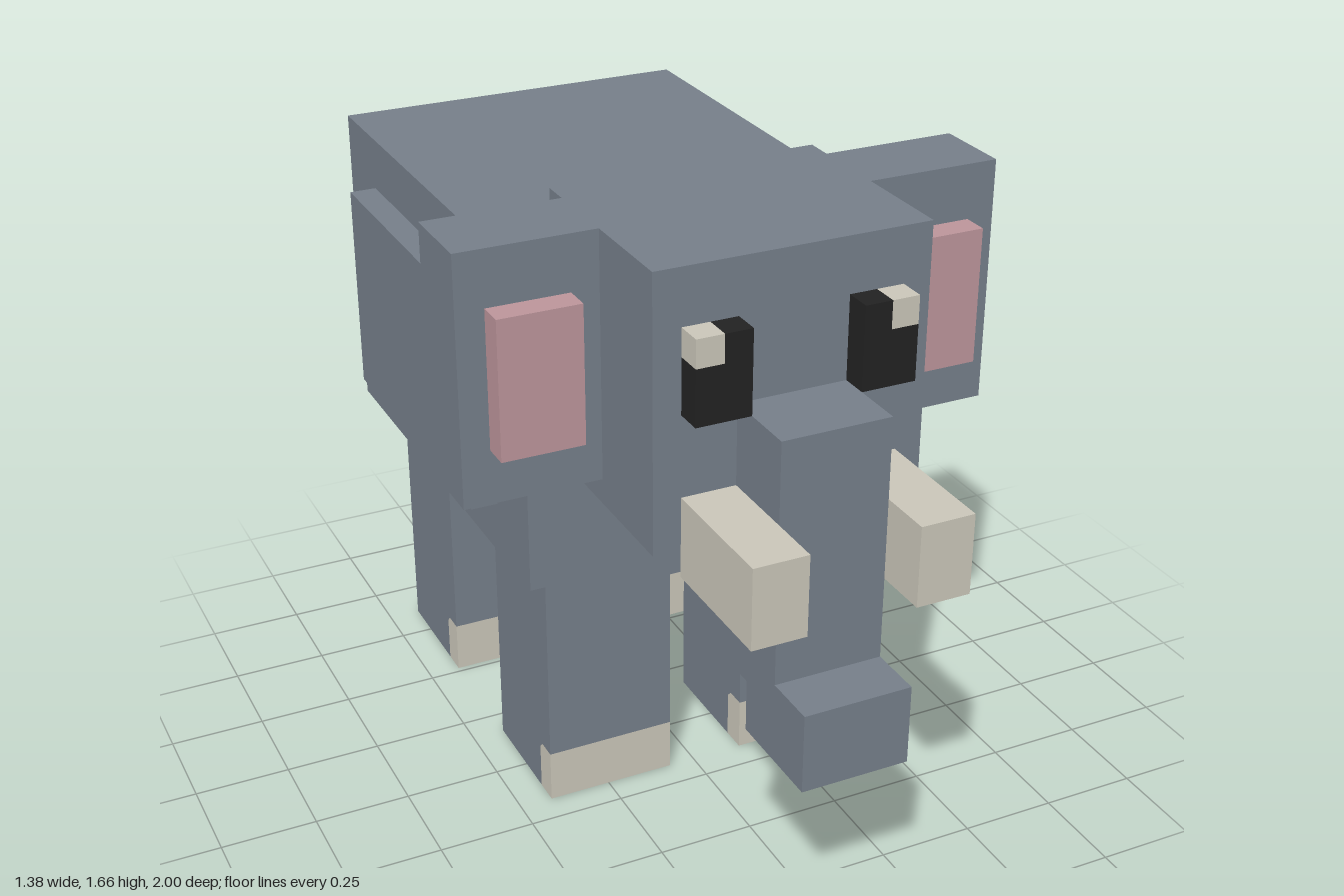
import * as THREE from 'three';

function material(name, color) {
  const m = new THREE.MeshStandardMaterial({ color });
  m.name = name;
  return m;
}

export function createModel() {
  const grey = material('skin grey', 0x757e89);
  const ivory = material('ivory', 0xc9c5b8);
  const pink = material('inner ear pink', 0xbb949a);
  const black = material('eye black', 0x222222);
  const model = new THREE.Group();
  model.name = 'elephant';

  function add(name, geometry, mat) {
    const mesh = new THREE.Mesh(geometry, mat);
    mesh.name = name;
    model.add(mesh);
  }

  // Box given by its [min, max] range on each axis
  function box(name, mat, [x0, x1], [y0, y1], [z0, z1]) {
    const g = new THREE.BoxGeometry(x1 - x0, y1 - y0, z1 - z0);
    add(name, g.translate((x0 + x1) / 2, (y0 + y1) / 2, (z0 + z1) / 2), mat);
  }

  // Side profile of [z, y] points, extruded across x
  function profile(name, mat, points, [x0, x1]) {
    const shape = new THREE.Shape(points.map(([z, y]) => new THREE.Vector2(z, y)));
    const g = new THREE.ExtrudeGeometry(shape, { depth: x1 - x0, bevelEnabled: false });
    add(name, g.rotateY(-Math.PI / 2).translate(x1, 0, 0), mat);
  }

  // Body and head
  box('body', grey, [-0.48, 0.48], [0.69, 1.52], [-1, 0.24]);
  box('head', grey, [-0.345, 0.345], [0.97, 1.66], [0.1, 0.655]);

  // Trunk with forward-turned tip
  profile('trunk', grey, [
    [0.655, 0.62], [0.725, 0.62], [0.725, 0.485], [1, 0.485],
    [1, 0.69], [0.86, 0.69], [0.86, 1.31], [0.655, 1.31],
  ], [-0.138, 0.138]);

  // Mirrored parts
  for (const [side, s] of [['left', 1], ['right', -1]]) {
    const across = (a, b) => (s > 0 ? [a, b] : [-b, -a]);
    box(side + 'Flank', grey, across(0.48, 0.55), [0.83, 1.38], [-0.795, 0.035]);
    box(side + 'Ear', grey, across(0.345, 0.69), [1.035, 1.66], [0.172, 0.38]);
    box(side + 'InnerEar', pink, across(0.414, 0.62), [1.172, 1.52], [0.38, 0.448]);
    box(side + 'Tusk', ivory, across(0.138, 0.276), [0.9, 1.105], [0.655, 1]);

    // Eye with a light corner block
    box(side + 'EyeLower', black, across(0.138, 0.276), [1.31, 1.45], [0.655, 0.725]);
    box(side + 'EyeUpper', black, across(0.138, 0.207), [1.45, 1.52], [0.655, 0.725]);
    box(side + 'EyeHighlight', ivory, across(0.207, 0.276), [1.45, 1.52], [0.655, 0.725]);
  }

  // Legs, notched at the front for the toenails
  for (const [side, xs] of [['left', [0.138, 0.48]], ['right', [-0.414, -0.07]]]) {
    for (const [end, z] of [['Front', 0.172], ['Back', -0.517]]) {
      const back = z - 0.345, nail = z - 0.068;
      const notch = [[nail, 0], [nail, 0.125], [nail + 0.015, 0.14], [z, 0.14]];
      profile(side + end + 'Leg', grey, [[back, 0], ...notch, [z, 0.69], [back, 0.69]], xs);
      profile(side + end + 'Toenail', ivory, [[z, 0], [z, 0.14], [nail + 0.015, 0.14], [nail, 0.125], [nail, 0]], xs);
    }
  }

  return model;
}
